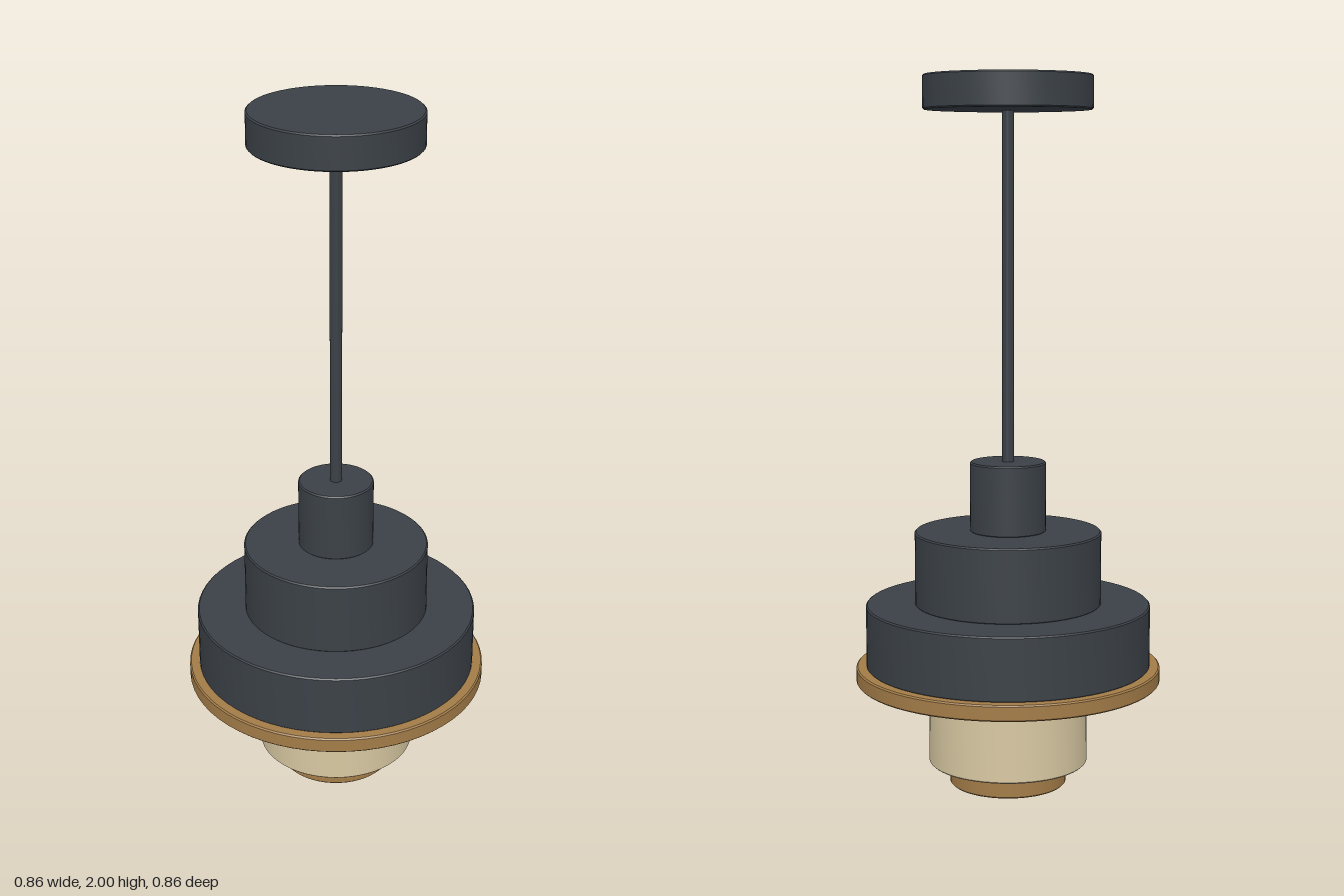
import * as THREE from 'three';
import { toCreasedNormals } from 'three/addons/utils/BufferGeometryUtils.js';

export function createModel() {
  const lamp = new THREE.Group();
  lamp.name = 'pendantLamp';

  const material = (name, color) => {
    const m = new THREE.MeshStandardMaterial({ color });
    m.name = name;
    return m;
  };
  const charcoal = material('charcoal metal', 0x3b4147);
  const brass = material('brass', 0xa37c48);
  const cream = material('cream glass', 0xd8c8a2);

  // Solid disc from y0 to y1 with finely chamfered rims
  function disc(name, radius, y0, y1, mat, bevel = 0.004) {
    const profile = [
      [0, y0], [radius - bevel, y0], [radius, y0 + bevel],
      [radius, y1 - bevel], [radius - bevel, y1], [0, y1],
    ].map(([x, y]) => new THREE.Vector2(x, y));
    const geometry = toCreasedNormals(new THREE.LatheGeometry(profile, 64), 0.5);
    const mesh = new THREE.Mesh(geometry, mat);
    mesh.name = name;
    lamp.add(mesh);
  }

  // Ceiling mount and hanging rod
  disc('ceilingCanopy', 0.235, 1.905, 2, charcoal);
  disc('rod', 0.017, 0.92, 1.908, charcoal, 0.006);

  // Stepped shade
  disc('shadeCap', 0.107, 0.73, 0.93, charcoal);
  disc('upperTier', 0.264, 0.522, 0.732, charcoal);
  disc('lowerTier', 0.403, 0.345, 0.524, charcoal);
  disc('brassRim', 0.432, 0.302, 0.347, brass);

  // Diffuser and its end cap
  disc('glassDiffuser', 0.226, 0.063, 0.304, cream);
  disc('endCap', 0.166, 0, 0.065, brass);

  return lamp;
}
